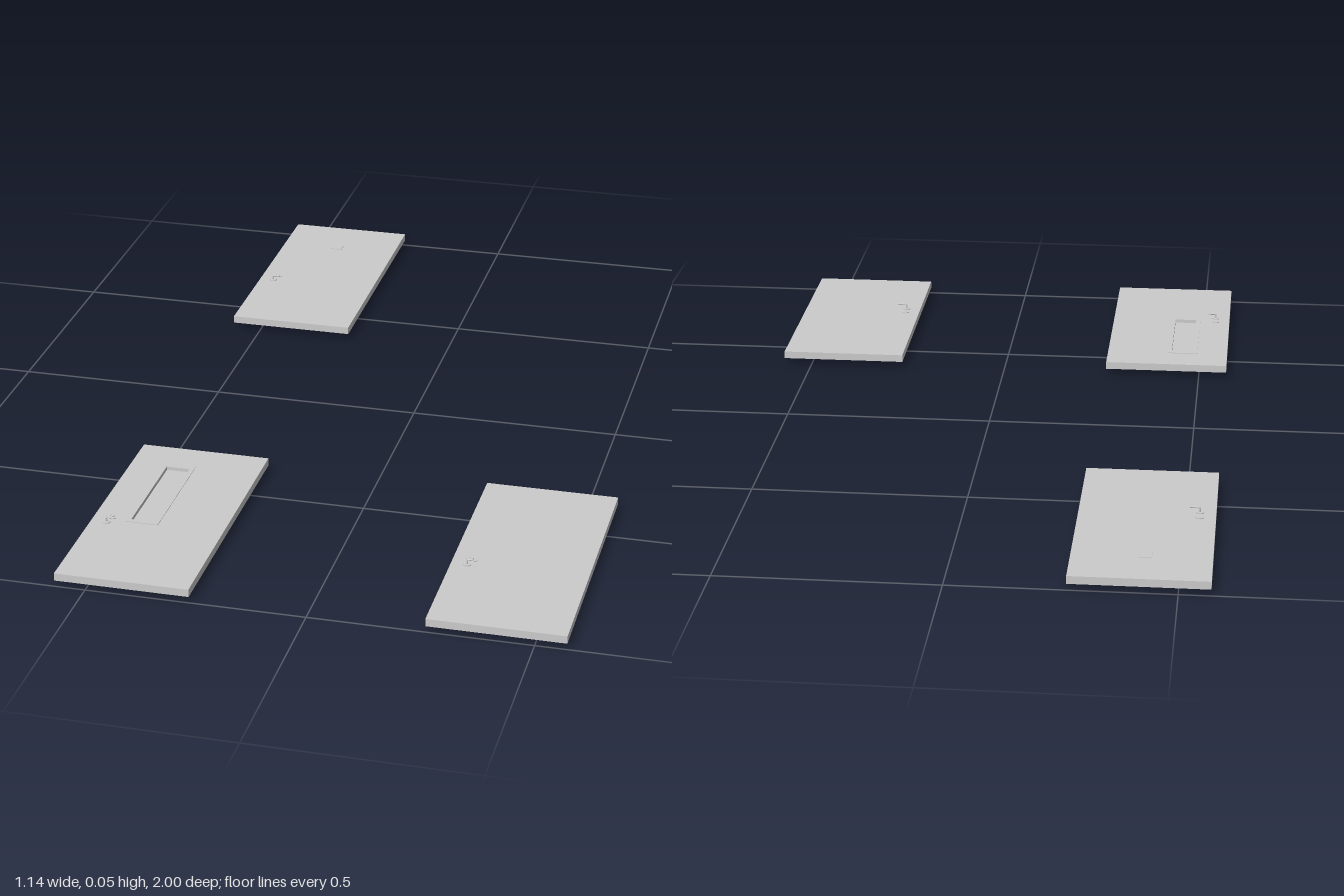
import * as THREE from 'three';

const W = 0.307, L = 0.628, T = 0.018, MID = 0.0235;
const mat = new THREE.MeshStandardMaterial({ color: 0xcccccc });

function add(parent, name, geo, x = 0, y = 0, z = 0) {
  const m = new THREE.Mesh(geo, mat);
  m.name = name;
  m.position.set(x, y, z);
  parent.add(m);
  return m;
}

// Rectangle outline in plan: plan y is -z once laid flat
function rect(Type, cx, cz, w, l) {
  const p = new Type(), x = w / 2, y = l / 2;
  p.moveTo(cx - x, -cz - y);
  p.lineTo(cx + x, -cz - y);
  p.lineTo(cx + x, -cz + y);
  p.lineTo(cx - x, -cz + y);
  p.closePath();
  return p;
}

// Flat slab with an optional rectangular opening, centred on y = 0
function slab(shape, hole, t) {
  if (hole) shape.holes.push(hole);
  return new THREE.ExtrudeGeometry(shape, { depth: t, bevelEnabled: false })
    .translate(0, 0, -t / 2).rotateX(-Math.PI / 2);
}

// Lever, rosette and lock for one face, rising along +y
function handleSet() {
  const g = new THREE.Group();
  const top = T / 2;
  add(g, 'handleRosette', new THREE.CylinderGeometry(0.009, 0.009, 0.002, 20), 0, top + 0.001, 0);
  add(g, 'lockRosette', new THREE.CylinderGeometry(0.009, 0.009, 0.002, 20), 0, top + 0.001, -0.029);
  add(g, 'keyhole', new THREE.BoxGeometry(0.002, 0.001, 0.006), 0, top + 0.0022, -0.029);
  const path = new THREE.CurvePath();
  const a = new THREE.Vector3(0, top, 0), b = new THREE.Vector3(0, 0.018, 0);
  const c = new THREE.Vector3(0.0035, 0.0215, 0), d = new THREE.Vector3(0.021, 0.0215, 0);
  path.add(new THREE.LineCurve3(a, b));
  path.add(new THREE.QuadraticBezierCurve3(b, new THREE.Vector3(0, 0.0215, 0), c));
  path.add(new THREE.LineCurve3(c, d));
  add(g, 'lever', new THREE.TubeGeometry(path, 24, 0.002, 10), 0, 0, 0);
  add(g, 'leverTip', new THREE.SphereGeometry(0.002, 10, 8), d.x, d.y, 0);
  return g;
}

function makeDoor(name, x, z, extra) {
  const door = new THREE.Group();
  door.name = name;
  door.position.set(x, MID, z);
  const leaf = rect(THREE.Shape, 0, 0, W, L);

  if (extra === 'window') {
    // Glazed opening with a slim frame proud of both faces
    const cx = -0.038, cz = -0.086, w = 0.077, l = 0.283, f = 0.011;
    add(door, 'leaf', slab(leaf, rect(THREE.Path, cx, cz, w, l), T));
    add(door, 'windowFrame', slab(rect(THREE.Shape, cx, cz, w, l),
      rect(THREE.Path, cx, cz, w - 2 * f, l - 2 * f), T + 0.003));
    add(door, 'windowPane', new THREE.BoxGeometry(w - 2 * f, 0.004, l - 2 * f), cx, 0, cz);
  } else {
    add(door, 'leaf', slab(leaf, null, T));
  }
  if (extra === 'plate') {
    // Small square plate near the top of the door
    add(door, 'plate', new THREE.BoxGeometry(0.03, 0.0015, 0.03), -0.007, T / 2 + 0.0005, -0.184);
  }

  // Handles on both faces
  for (const side of [1, -1]) {
    const h = handleSet();
    h.name = side > 0 ? 'upperHandle' : 'lowerHandle';
    h.position.set(-0.117, 0, 0.067);
    if (side < 0) {
      // Mirror vertices and flip winding so the faces still point outward
      for (const m of h.children) {
        m.geometry.scale(1, -1, 1);
        m.position.y *= -1;
        const i = m.geometry.index.array;
        for (let k = 0; k < i.length; k += 3) [i[k], i[k + 1]] = [i[k + 1], i[k]];
      }
    }
    door.add(h);
  }
  return door;
}

export function createModel() {
  const model = new THREE.Group();
  model.name = 'doorSet';
  const x = 0.57 - W / 2, z = 1 - L / 2;
  model.add(makeDoor('windowDoor', -x, z, 'window'));
  model.add(makeDoor('plainDoor', x, z));
  model.add(makeDoor('plateDoor', -x, -z, 'plate'));
  return model;
}
